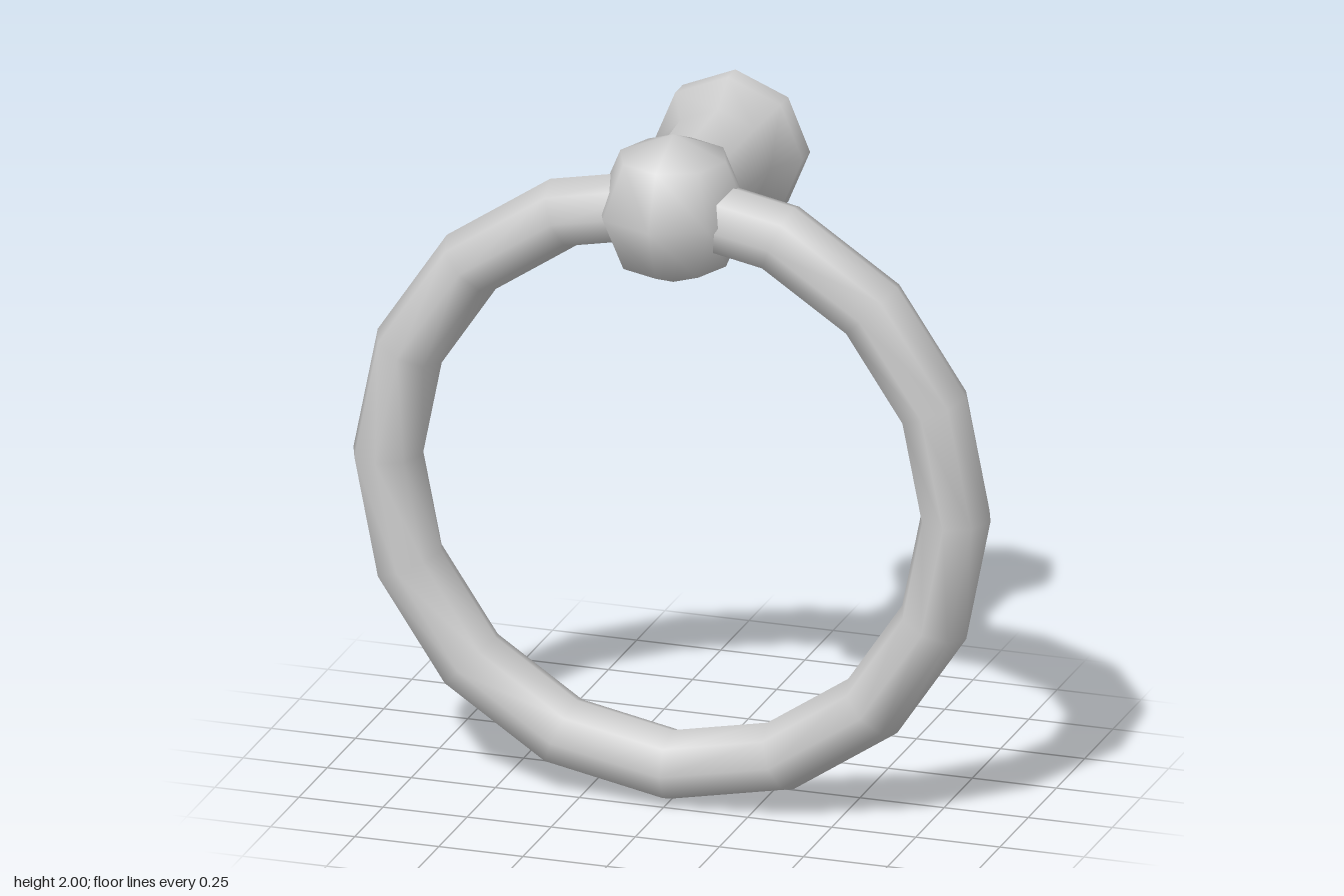
import * as THREE from 'three';

export function createModel() {
  const model = new THREE.Group();
  const material = new THREE.MeshStandardMaterial({ color: 0xcccccc });
  const openMaterial = new THREE.MeshStandardMaterial({ color: 0xcccccc, side: THREE.DoubleSide });

  const add = (name, geometry, mat, x, y, z) => {
    const mesh = new THREE.Mesh(geometry, mat);
    mesh.name = name;
    mesh.position.set(x, y, z);
    model.add(mesh);
    return mesh;
  };

  // Hanging ring, its tube slightly deeper than wide
  const ring = new THREE.TorusGeometry(0.844, 0.103, 8, 16);
  ring.scale(1, 1, 1.12);
  add('ring', ring, material, 0, 0.952, 0.175);

  // Round knob gripping the top of the ring
  add('knob', new THREE.SphereGeometry(0.222, 8, 4), material, 0, 1.778, 0.164);

  // Wall post flaring to an open, hollow mount; profile is [radius, distance behind z = 0]
  const profile = [[0.143, -0.04], [0.145, 0], [0.158, 0.23], [0.222, 0.32], [0.222, 0.386]];
  const post = new THREE.LatheGeometry(profile.map(([r, d]) => new THREE.Vector2(r, d)), 8);
  post.rotateX(-Math.PI / 2);
  add('wallPost', post, openMaterial, 0, 1.778, 0);

  return model;
}
